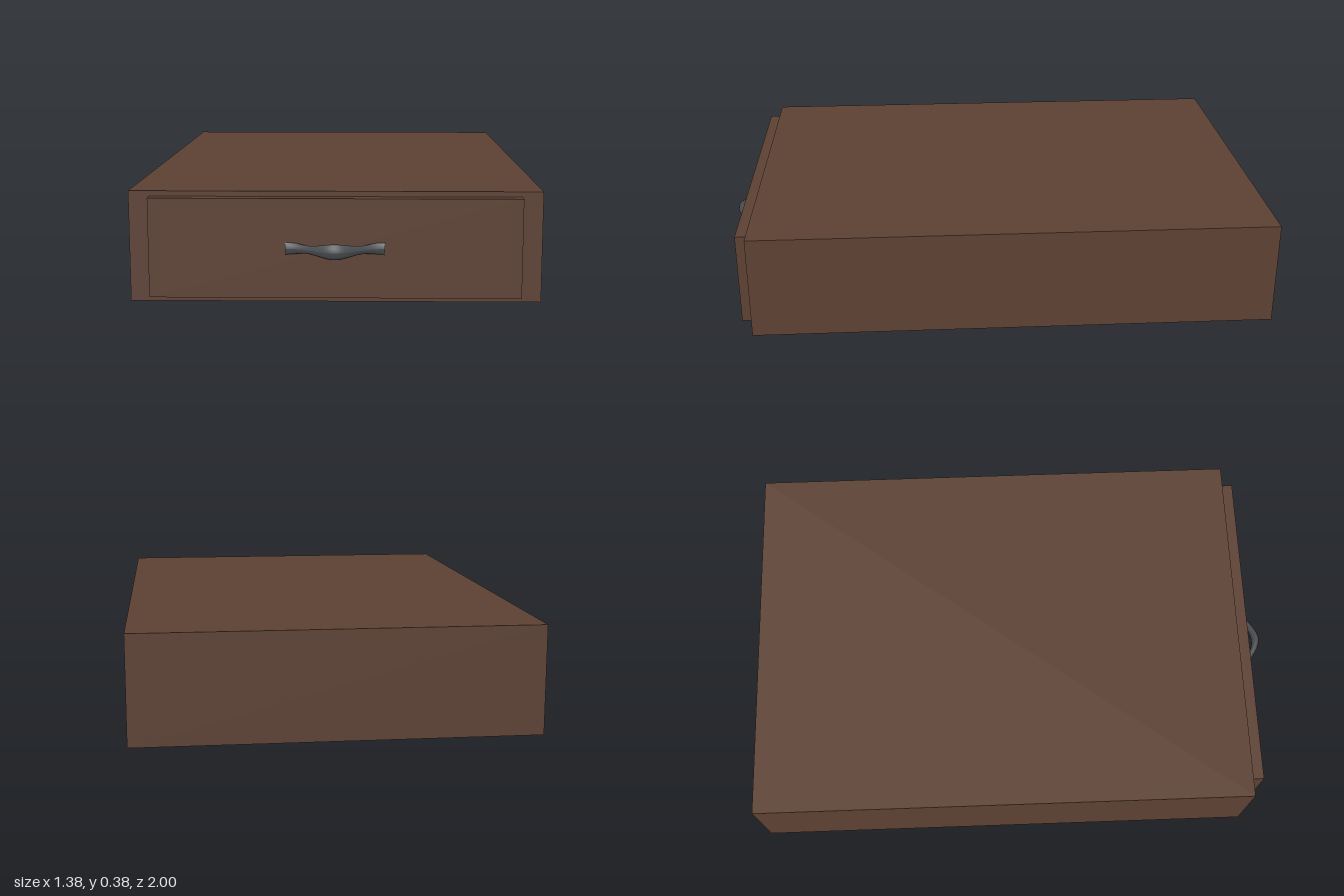
import * as THREE from 'three';

const wood = new THREE.MeshStandardMaterial({ color: 0x5c4033 });
const metal = new THREE.MeshStandardMaterial({ color: 0x4a4d50 });

function box(name, w, h, d, x, y, z) {
  const mesh = new THREE.Mesh(new THREE.BoxGeometry(w, h, d), wood);
  mesh.name = name;
  mesh.position.set(x, y, z);
  return mesh;
}

// Bowed pull: elliptical cross-sections swept along x, swelling at middle and ends
function handleGeometry() {
  const rings = 32, sides = 12, halfLength = 0.165;
  const geo = new THREE.CylinderGeometry(1, 1, 2, sides, rings);
  geo.rotateZ(-Math.PI / 2);
  const p = geo.attributes.position;
  for (let i = 0; i < p.count; i++) {
    const t = p.getX(i);
    const swell = 0.5 + 0.5 * Math.cos(t * Math.PI * 2 * 0.9);
    const height = 0.014 + 0.012 * swell;
    const depth = 0.011 + 0.004 * swell;
    const bow = 0.915 + 0.07 * (0.5 + 0.5 * Math.cos(t * Math.PI));
    p.setXYZ(i, t * halfLength, p.getY(i) * height, bow + p.getZ(i) * depth);
  }
  geo.computeVertexNormals();
  return geo;
}

export function createModel() {
  const model = new THREE.Group();
  model.name = 'drawerUnit';

  // Cabinet body
  model.add(box('cabinet', 1.38, 0.375, 1.88, 0, 0.1875, -0.06));

  // Drawer front standing proud of the cabinet
  const drawer = new THREE.Group();
  drawer.name = 'drawer';
  drawer.add(box('drawerFront', 1.24, 0.335, 0.06, 0, 0.1895, 0.893));

  // Handle
  const handle = new THREE.Mesh(handleGeometry(), metal);
  handle.name = 'handle';
  handle.position.y = 0.19;
  drawer.add(handle);

  model.add(drawer);
  return model;
}
